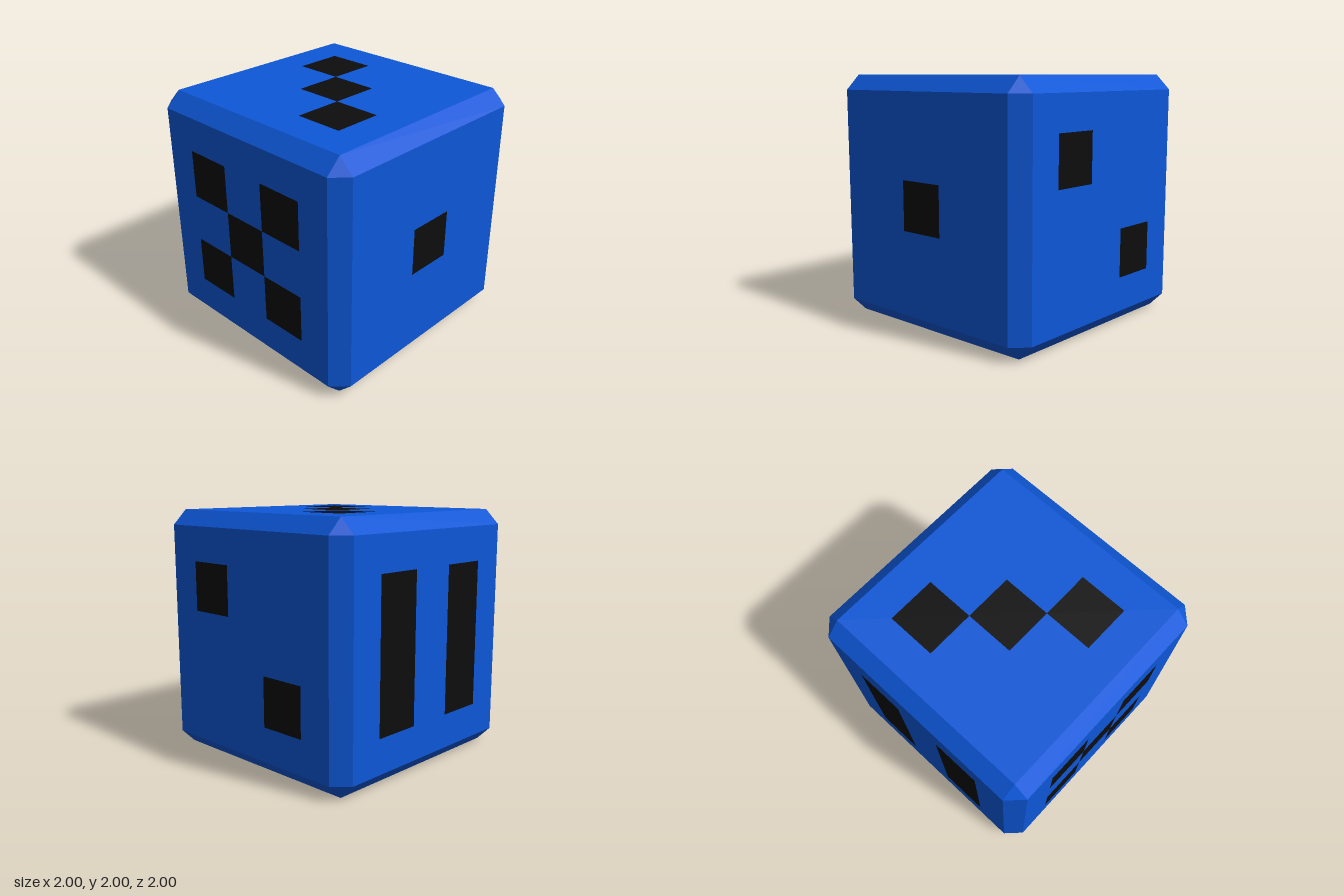
import * as THREE from 'three';
import { ConvexGeometry } from 'three/addons/geometries/ConvexGeometry.js';

const HALF = 1, INNER = 0.88, PIP = 0.4, LIFT = 0.002;

// Cube with chamfered edges and triangular corners
function chamferedCube() {
  const points = [];
  for (const x of [-1, 1]) for (const y of [-1, 1]) for (const z of [-1, 1]) {
    for (let axis = 0; axis < 3; axis++) {
      const p = new THREE.Vector3(x, y, z).multiplyScalar(INNER);
      p.setComponent(axis, [x, y, z][axis] * HALF);
      points.push(p);
    }
  }
  return new ConvexGeometry(points);
}

// Pip positions in steps of 0.4 from the middle of each face
const diagonal = [[-1, 1], [1, -1]];
const corners = [...diagonal, [-1, -1], [1, 1]];
const FACES = [
  { name: 'frontPips', turn: [0, 0], pips: [[0, 0]] },
  { name: 'rightSidePips', turn: [0, Math.PI / 2], pips: diagonal },
  { name: 'topPips', turn: [-Math.PI / 2, 0], pips: [[-1, -1], [0, 0], [1, 1]] },
  { name: 'bottomPips', turn: [Math.PI / 2, 0], pips: corners },
  { name: 'leftSidePips', turn: [0, -Math.PI / 2], pips: [...corners, [0, 0]] },
  { name: 'backPips', turn: [0, Math.PI], pips: [...corners, [-1, 0], [1, 0]] },
];

export function createModel() {
  const model = new THREE.Group();
  model.name = 'die';
  const blue = new THREE.MeshStandardMaterial({ color: 0x0d57d8, flatShading: true });
  const black = new THREE.MeshStandardMaterial({ color: 0x0d0d0d });

  const body = new THREE.Mesh(chamferedCube(), blue);
  body.name = 'body';
  body.position.y = HALF;
  model.add(body);

  // Square pips, one group turned to each face
  const square = new THREE.PlaneGeometry(PIP, PIP);
  for (const { name, turn, pips } of FACES) {
    const face = new THREE.Group();
    face.name = name;
    face.position.y = HALF;
    face.rotation.set(turn[0], turn[1], 0);
    for (const [u, v] of pips) {
      const pip = new THREE.Mesh(square, black);
      pip.name = 'pip';
      pip.position.set(u * PIP, v * PIP, HALF + LIFT);
      face.add(pip);
    }
    model.add(face);
  }
  return model;
}
